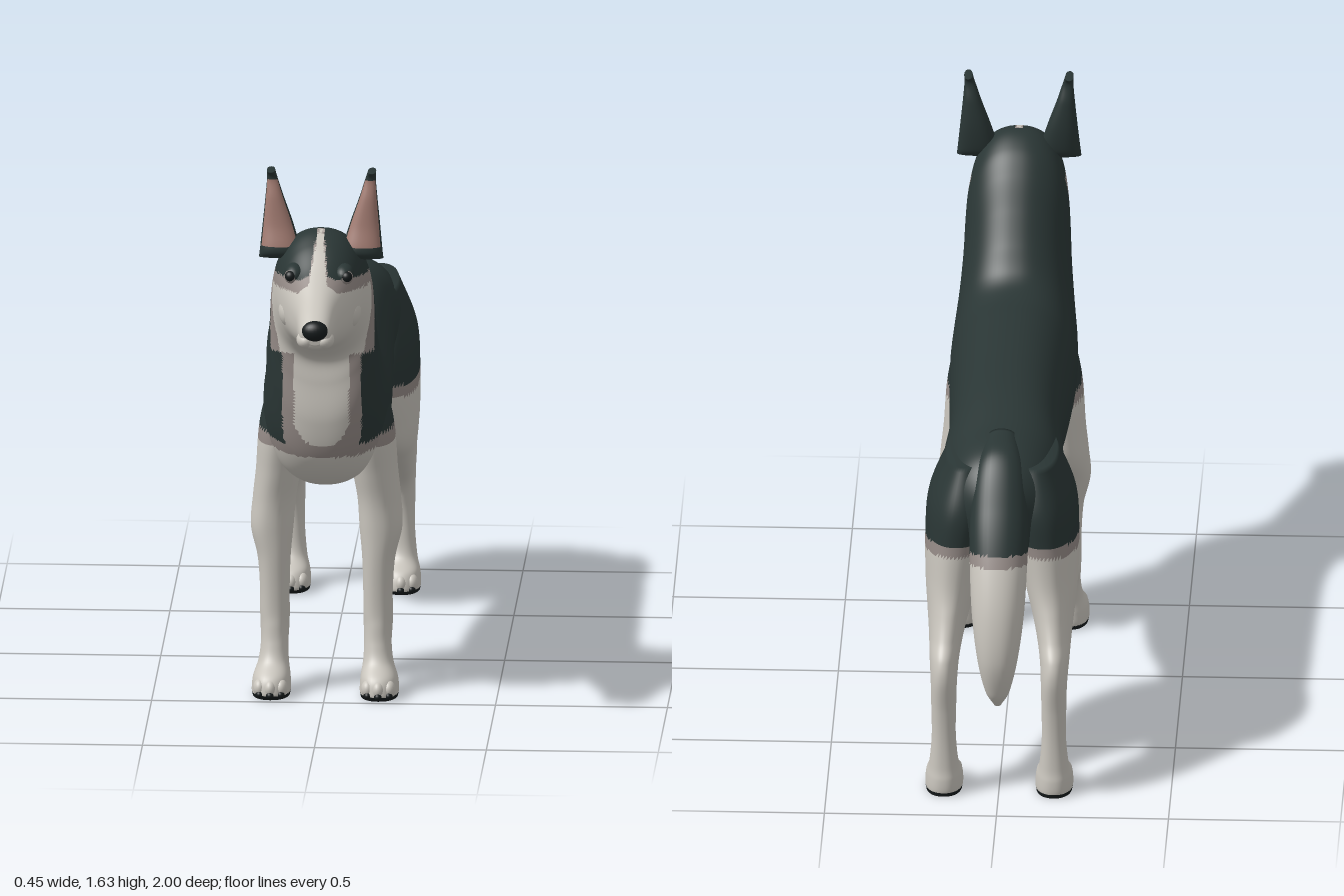
import * as THREE from 'three';

const mat = (name, color) => {
  const m = new THREE.MeshStandardMaterial({ color });
  m.name = name;
  return m;
};

// Linear interpolation through [key, value] pairs with rising keys
function ramp(points, k) {
  for (let i = 1; i < points.length; i++) {
    const [k0, v0] = points[i - 1], [k1, v1] = points[i];
    if (k <= k1) return v0 + (v1 - v0) * Math.max(0, (k - k0) / (k1 - k0));
  }
  return points[points.length - 1][1];
}

// Closed skin over oval sections [frontZ, frontY, backZ, backY, centreX, halfWidth].
// paint(point, angle) picks the material index of each triangle.
function loft(sections, rows, cols, paint, side = 1, power = 0.9) {
  const curve = f => new THREE.CatmullRomCurve3(sections.map(f), false, 'catmullrom', 0.5);
  const front = curve(s => new THREE.Vector3(s[4] * side, s[1], s[0]));
  const back = curve(s => new THREE.Vector3(s[4] * side, s[3], s[2]));
  const width = curve(s => new THREE.Vector3(s[5], 0, 0));
  const pos = [], tris = [];
  const soft = v => Math.sign(v) * Math.abs(v) ** power;
  for (let i = 0; i <= rows; i++) {
    const f = front.getPoint(i / rows), b = back.getPoint(i / rows), w = width.getPoint(i / rows).x;
    const c = f.clone().add(b).multiplyScalar(0.5), r = f.clone().sub(c);
    for (let j = 0; j < cols; j++) {
      const a = j / cols * Math.PI * 2, k = soft(Math.cos(a));
      pos.push(c.x + w * soft(Math.sin(a)), Math.max(0, c.y + r.y * k), c.z + r.z * k);
    }
  }
  for (let i = 0; i < rows; i++) for (let j = 0; j < cols; j++) {
    const a = i * cols + j, b = i * cols + (j + 1) % cols, ang = (j + 0.5) / cols * Math.PI * 2;
    tris.push([a, b, a + cols, ang], [b, b + cols, a + cols, ang]);
  }
  // End caps
  for (const [row, flip] of [[0, true], [rows, false]]) {
    const o = row * cols, m = pos.length / 3, c = [0, 0, 0];
    for (let j = 0; j < cols; j++) for (let k = 0; k < 3; k++) c[k] += pos[(o + j) * 3 + k] / cols;
    pos.push(...c);
    for (let j = 0; j < cols; j++) {
      const n = o + (j + 1) % cols;
      tris.push(flip ? [n, o + j, m, Math.PI] : [o + j, n, m, Math.PI]);
    }
  }
  // Turn faces outward by the sign of the enclosed volume
  const P = i => new THREE.Vector3().fromArray(pos, i * 3);
  const volume = tris.reduce((v, t) => v + P(t[0]).dot(P(t[1]).cross(P(t[2]))), 0);
  const byColour = [];
  for (const [a, b, c, ang] of tris) {
    const m = paint(P(a).add(P(b)).add(P(c)).divideScalar(3), ang);
    (byColour[m] ??= []).push(...(volume > 0 ? [a, b, c] : [a, c, b]));
  }
  const g = new THREE.BufferGeometry(), index = [];
  byColour.forEach((list, m) => {
    g.addGroup(index.length, list.length, m);
    for (const i of list) index.push(i);
  });
  g.setAttribute('position', new THREE.Float32BufferAttribute(pos, 3));
  g.setIndex(index);
  g.computeVertexNormals();
  return g;
}

// Lower edge of the dark saddle along z
const saddle = [[-1, 0.8], [-0.9, 0.786], [-0.78, 0.76], [-0.6, 0.728], [-0.4, 0.717],
  [-0.25, 0.735], [0, 0.776], [0.1, 0.797], [0.6, 0.797]];

// Coat pattern: 0 dark, 1 taupe border, 2 pale
function coat(p) {
  const x = Math.abs(p.x);
  const blaze = Math.max(x - 0.01 - 0.12 * Math.max(0, p.z - 0.65), 0.62 - p.z) * 10;
  const mask = Math.min(p.y - 1.33 - (p.z - 0.6) * 0.1, 0.79 - p.z, blaze);
  const front = p.y < 1.08 ? Math.max(x - 0.115, 0.57 - p.z)
    : Math.max(0.56 - p.z, p.y > 1.25 ? mask : -1);
  const d = Math.min(p.y - ramp(saddle, p.z), front);
  return d > 0 ? 0 : d > -0.035 ? 1 : 2;
}
const legCoat = p => p.y < 0.012 ? 4 : p.y < 0.6 ? 2 : coat(p);

export function createModel() {
  const dark = mat('dark coat', 0x2a3635), taupe = mat('taupe border', 0x958b87);
  const pale = mat('pale coat', 0xcac6be), pink = mat('inner ear', 0xa37c72);
  const black = mat('black', 0x161b1c);
  const mats = [dark, taupe, pale, pink, black];
  const root = new THREE.Group();
  const add = (name, geo, material = mats) => {
    const m = new THREE.Mesh(geo, material);
    m.name = name;
    root.add(m);
    return m;
  };
  const blob = (name, material, p, s) => {
    const m = add(name, new THREE.SphereGeometry(1, 24, 16), material);
    m.position.set(...p);
    m.scale.set(...s);
    return m;
  };

  // Trunk, neck and head in one skin, from rump to muzzle (first pair is the top edge)
  add('body', loft([
    [-0.83, 0.92, -0.81, 0.80, 0, 0.05],
    [-0.72, 1.02, -0.74, 0.68, 0, 0.15],
    [-0.55, 1.05, -0.55, 0.68, 0, 0.18],
    [-0.35, 1.08, -0.35, 0.73, 0, 0.165],
    [-0.10, 1.09, -0.12, 0.665, 0, 0.172],
    [0.10, 1.095, 0.08, 0.635, 0, 0.18],
    [0.22, 1.10, 0.30, 0.625, 0, 0.185],
    [0.30, 1.13, 0.47, 0.65, 0, 0.18],
    [0.36, 1.20, 0.58, 0.74, 0, 0.168],
    [0.42, 1.285, 0.62, 0.87, 0, 0.158],
    [0.48, 1.37, 0.618, 0.99, 0, 0.153],
    [0.54, 1.43, 0.62, 1.06, 0, 0.147],
    [0.62, 1.46, 0.665, 1.10, 0, 0.135],
    [0.70, 1.43, 0.72, 1.125, 0, 0.118],
    [0.78, 1.372, 0.78, 1.14, 0, 0.092],
    [0.86, 1.325, 0.86, 1.16, 0, 0.064],
    [0.94, 1.288, 0.94, 1.178, 0, 0.05],
    [0.975, 1.268, 0.97, 1.19, 0, 0.042],
    [0.985, 1.25, 0.98, 1.205, 0, 0.025],
  ], 240, 96, coat));

  add('tail', loft([
    [-0.58, 0.95, -0.60, 1.055, 0, 0.05],
    [-0.69, 0.88, -0.74, 1.03, 0, 0.075],
    [-0.75, 0.79, -0.85, 0.90, 0, 0.085],
    [-0.79, 0.68, -0.925, 0.77, 0, 0.083],
    [-0.82, 0.56, -0.98, 0.62, 0, 0.075],
    [-0.86, 0.45, -0.995, 0.48, 0, 0.058],
    [-0.885, 0.37, -0.965, 0.37, 0, 0.036],
    [-0.895, 0.325, -0.925, 0.317, 0, 0.012],
  ], 90, 40, coat));

  for (const s of [1, -1]) {
    const which = s > 0 ? 'left' : 'right';

    add(which + 'FrontLeg', loft([
      [0.46, 0.93, 0.22, 0.93, 0.11, 0.055],
      [0.47, 0.80, 0.18, 0.80, 0.125, 0.07],
      [0.44, 0.67, 0.185, 0.65, 0.14, 0.066],
      [0.42, 0.58, 0.205, 0.57, 0.152, 0.063],
      [0.412, 0.49, 0.25, 0.49, 0.158, 0.062],
      [0.405, 0.40, 0.275, 0.40, 0.152, 0.048],
      [0.398, 0.31, 0.285, 0.30, 0.15, 0.043],
      [0.395, 0.24, 0.278, 0.24, 0.15, 0.043],
      [0.398, 0.20, 0.262, 0.19, 0.15, 0.042],
      [0.405, 0.15, 0.295, 0.14, 0.15, 0.04],
      [0.425, 0.10, 0.31, 0.09, 0.152, 0.044],
      [0.475, 0.06, 0.31, 0.05, 0.156, 0.054],
      [0.488, 0.02, 0.31, 0.02, 0.157, 0.057],
      [0.48, 0, 0.315, 0, 0.157, 0.054],
    ], 110, 40, legCoat, s));

    add(which + 'HindLeg', loft([
      [-0.42, 0.98, -0.74, 0.99, 0.10, 0.06],
      [-0.36, 0.84, -0.79, 0.86, 0.115, 0.098],
      [-0.355, 0.72, -0.795, 0.74, 0.13, 0.093],
      [-0.38, 0.60, -0.80, 0.62, 0.142, 0.08],
      [-0.42, 0.515, -0.82, 0.545, 0.15, 0.066],
      [-0.54, 0.45, -0.85, 0.48, 0.156, 0.052],
      [-0.66, 0.385, -0.885, 0.43, 0.16, 0.043],
      [-0.75, 0.325, -0.895, 0.37, 0.16, 0.038],
      [-0.78, 0.26, -0.878, 0.27, 0.16, 0.036],
      [-0.785, 0.18, -0.87, 0.18, 0.16, 0.035],
      [-0.77, 0.10, -0.87, 0.09, 0.16, 0.042],
      [-0.715, 0.06, -0.875, 0.05, 0.16, 0.052],
      [-0.70, 0.02, -0.875, 0.02, 0.16, 0.055],
      [-0.71, 0, -0.87, 0, 0.16, 0.052],
    ], 120, 64, legCoat, s));

    // Toes and claws
    for (const [x0, z0] of [[0.157, 0.468], [0.16, -0.722]]) for (const k of [-1, 0, 1]) {
      const x = s * x0 + k * 0.031, z = z0 - Math.abs(k) * 0.012;
      blob('toe', pale, [x, 0.032, z], [0.019, 0.026, 0.026]);
      blob('claw', black, [x, 0.016, z + 0.016], [0.011, 0.011, 0.015]);
    }

    // Upright ear with a lined front face
    add(which + 'Ear', loft([
      [0.645, 1.375, 0.605, 1.375, 0.125, 0.056],
      [0.66, 1.40, 0.59, 1.40, 0.12, 0.058],
      [0.645, 1.47, 0.583, 1.47, 0.126, 0.045],
      [0.635, 1.55, 0.588, 1.55, 0.136, 0.027],
      [0.625, 1.61, 0.60, 1.61, 0.143, 0.015],
      [0.645, 1.632, 0.575, 1.632, 0.147, 0.012],
    ], 50, 32, (p, a) => Math.cos(a) > 0.35 && p.y > 1.41 && p.y < 1.605 ? 3 : 0, s));

    // Brow, eye and lip
    blob(which + 'Brow', dark, [s * 0.072, 1.355, 0.735], [0.03, 0.03, 0.045]);
    blob(which + 'Eyelid', taupe, [s * 0.079, 1.352, 0.762], [0.021, 0.021, 0.02]);
    blob(which + 'Eye', black, [s * 0.082, 1.355, 0.77], [0.016, 0.016, 0.016]);
    blob(which + 'Cheek', pale, [s * 0.085, 1.235, 0.70], [0.035, 0.05, 0.06]);
    blob(which + 'Lip', pale, [s * 0.027, 1.213, 0.945], [0.028, 0.026, 0.04]);
  }

  blob('nose', black, [0, 1.245, 0.972], [0.038, 0.03, 0.028]);
  return root;
}
